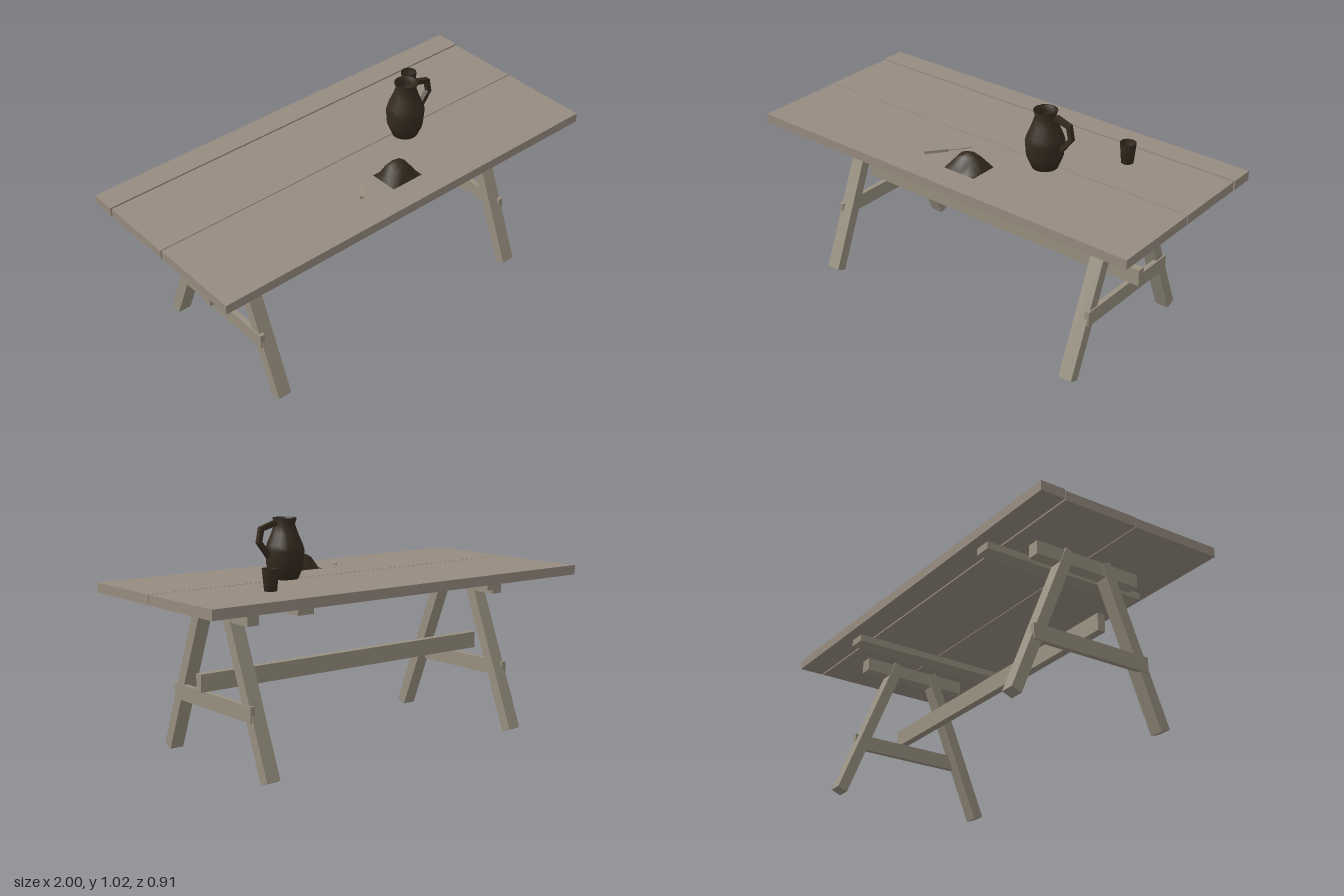
import * as THREE from 'three';

const mat = (name, color, extra = {}) => {
  const m = new THREE.MeshStandardMaterial({ color, ...extra });
  m.name = name;
  return m;
};

export function createModel() {
  const group = new THREE.Group();
  group.name = 'tableWithTableware';
  const plankWood = mat('plankWood', 0x978b7f);
  const frameWood = mat('frameWood', 0x989080);
  const darkClay = mat('darkClay', 0x352b1f, { side: THREE.DoubleSide });

  const add = (name, geometry, material, parent = group) => {
    const mesh = new THREE.Mesh(geometry, material);
    mesh.name = name;
    parent.add(mesh);
    return mesh;
  };
  // Box given by its limits on each axis
  const box = (name, [x0, x1], [y0, y1], [z0, z1], material) => {
    const mesh = add(name, new THREE.BoxGeometry(x1 - x0, y1 - y0, z1 - z0), material);
    mesh.position.set((x0 + x1) / 2, (y0 + y1) / 2, (z0 + z1) / 2);
    return mesh;
  };

  // Table top: three planks with narrow gaps
  box('frontPlank', [-0.992, 0.996], [0.72, 0.763], [0.025, 0.453], plankWood);
  box('middlePlank', [-0.996, 0.996], [0.72, 0.763], [-0.333, 0.021], plankWood);
  box('backPlank', [-1, 1], [0.722, 0.766], [-0.453, -0.338], plankWood);

  // Trestle at each end
  const bottom = new THREE.Vector2(0.3725, 0.0125);
  const top = new THREE.Vector2(0.0925, 0.704);
  const tilt = Math.atan2(bottom.x - top.x, top.y - bottom.y);
  for (const s of [-1, 1]) {
    const span = (a, b) => (s > 0 ? [a, b] : [-b, -a]);
    box('batten', span(0.485, 0.565), [0.688, 0.72], [-0.403, 0.403], frameWood);
    box('topRail', span(0.656, 0.712), [0.64, 0.701], [-0.262, 0.262], frameWood);
    box('crossBrace', span(0.7, 0.723), [0.248, 0.317], [-0.291, 0.291], frameWood);
    for (const side of [-1, 1]) {
      const leg = add('leg', new THREE.BoxGeometry(0.065, bottom.distanceTo(top), 0.049), frameWood);
      leg.position.set(s * 0.684, (bottom.y + top.y) / 2, side * (bottom.x + top.x) / 2);
      leg.rotation.x = -side * tilt;
    }
  }
  box('stretcher', [-0.782, 0.782], [0.335, 0.412], [-0.018, 0.018], frameWood);

  // Pitcher with hollow neck and angular handle
  const lathe = (points, sides) =>
    new THREE.LatheGeometry(points.map(([r, y]) => new THREE.Vector2(r, y)), sides);
  const pitcher = new THREE.Group();
  pitcher.name = 'pitcher';
  pitcher.position.set(0.3, 0.763, 0.05);
  group.add(pitcher);
  add('pitcherBody', lathe([
    [0, 0], [0.058, 0], [0.08, 0.052], [0.086, 0.125], [0.079, 0.15], [0.058, 0.2],
    [0.045, 0.238], [0.053, 0.265], [0.046, 0.265], [0.038, 0.236], [0.05, 0.195], [0, 0.15],
  ], 14), darkClay);
  const handle = new THREE.Shape([
    [0.045, 0.235], [0.058, 0.255], [0.132, 0.232], [0.146, 0.165], [0.095, 0.098],
    [0.075, 0.11], [0.125, 0.17], [0.115, 0.216],
  ].map(([x, y]) => new THREE.Vector2(x, y)));
  add('pitcherHandle', new THREE.ExtrudeGeometry(handle, { depth: 0.022, bevelEnabled: false }),
    darkClay, pitcher).position.z = -0.011;
  pitcher.add(group.getObjectByName('pitcherBody'));

  // Cup
  add('cup', lathe([
    [0, 0], [0.028, 0], [0.037, 0.093], [0.032, 0.093], [0.025, 0.012], [0, 0.012],
  ], 10), darkClay).position.set(0.553, 0.763, -0.2);

  // Loaf: rectangular base swelling to a dome
  const loafGeometry = new THREE.PlaneGeometry(0.162, 0.132, 4, 4).rotateX(-Math.PI / 2);
  const p = loafGeometry.attributes.position;
  const swell = (u) => 1 - Math.min(1, Math.abs(u)) ** 2.8;
  for (let i = 0; i < p.count; i++) {
    p.setY(i, 0.071 * swell(p.getX(i) / 0.081) * swell(p.getZ(i) / 0.066));
  }
  loafGeometry.computeVertexNormals();
  add('loaf', loafGeometry, darkClay).position.set(0.06, 0.764, 0.265);

  // Knife lying diagonally, with a tapering blade
  const knife = new THREE.Group();
  knife.name = 'knife';
  knife.position.set(-0.103, 0.763, 0.212);
  knife.rotation.y = Math.atan2(0.165, 0.13);
  group.add(knife);
  const grip = add('knifeHandle', new THREE.BoxGeometry(0.105, 0.013, 0.015), frameWood, knife);
  grip.position.set(-0.052, 0.0105, 0);
  const blade = new THREE.Shape([
    [0, -0.006], [0.075, -0.006], [0.105, 0.003], [0, 0.006],
  ].map(([x, y]) => new THREE.Vector2(x, y)));
  const bladeMesh = add('knifeBlade',
    new THREE.ExtrudeGeometry(blade, { depth: 0.003, bevelEnabled: false }), plankWood, knife);
  bladeMesh.rotation.x = -Math.PI / 2;
  bladeMesh.position.y = 0.009;

  return group;
}
